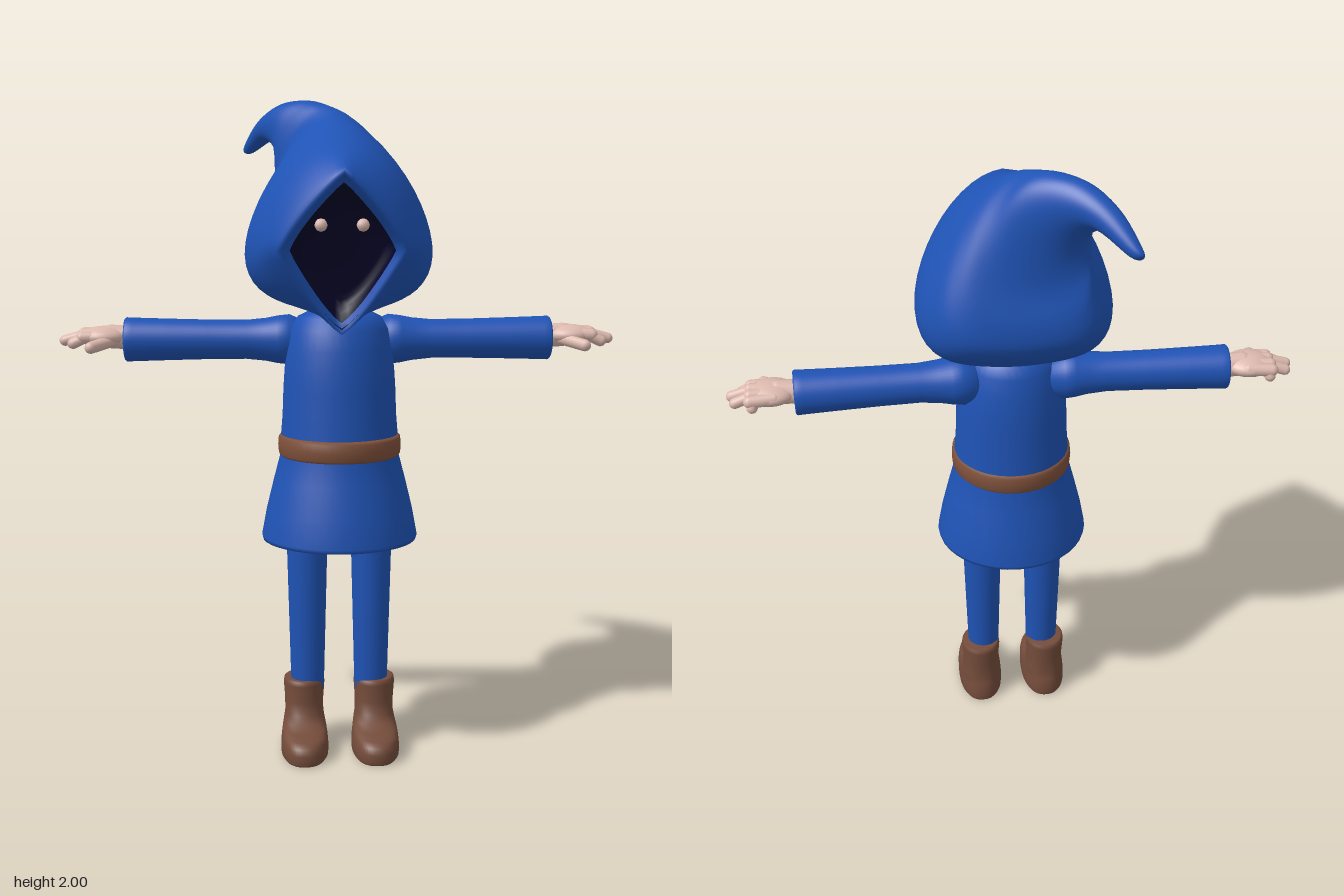
import * as THREE from 'three';

const mat = (name, color, side = THREE.FrontSide) =>
  Object.assign(new THREE.MeshStandardMaterial({ color, side }), { name });

// Catmull-Rom blend of one number
function spline(a, b, c, d, t) {
  const m = (c - a) / 2, n = (d - b) / 2;
  return (2 * b - 2 * c + m + n) * t ** 3 + (3 * c - 3 * b - 2 * m - n) * t * t + m * t + b;
}

// Skin over rings. Row: [y, z of one end, y, z of the other end, half width, x, roundness, shift]
// Roundness 1 is a diamond, 2 an ellipse, above 2 squarish.
function loft(rows, steps, sides = 48) {
  const last = rows.length - 1, pos = [], index = [];
  const count = last * steps + 1;
  for (let i = 0; i < count; i++) {
    const k = Math.min(Math.floor(i / steps), last - 1), t = i / steps - k;
    const r = (j) => rows[Math.max(0, Math.min(last, j))];
    const [ty, tz, by, bz, w, x, p, shift] = rows[0].map((_, c) =>
      spline(r(k - 1)[c], r(k)[c], r(k + 1)[c], r(k + 2)[c], t));
    for (let j = 0; j < sides; j++) {
      const a = (j / sides) * Math.PI * 2, c = Math.cos(a), s = Math.sin(a);
      const f = (Math.abs(c) ** p + Math.abs(s) ** p) ** (-1 / p);
      const h = (c * f + shift * s * s) / 2;
      pos.push(x + Math.max(w, 0) * s * f, (ty + by) / 2 + (ty - by) * h, (tz + bz) / 2 + (tz - bz) * h);
      if (i < count - 1) {
        const q = i * sides + j, n = i * sides + ((j + 1) % sides);
        index.push(q, n, q + sides, n, n + sides, q + sides);
      }
    }
  }
  const g = new THREE.BufferGeometry();
  g.setAttribute('position', new THREE.Float32BufferAttribute(pos, 3));
  g.setIndex(index);
  g.computeVertexNormals();
  return g;
}

const lathe = (pts) => new THREE.LatheGeometry(pts.map(([r, y]) => new THREE.Vector2(r, y)), 40);

export function createModel() {
  const model = new THREE.Group();
  model.name = 'hoodedFigure';
  const blue = mat('blueCloth', 0x1f53b5);
  const boot = mat('bootLeather', 0x744c3b);
  const strap = mat('beltLeather', 0x7e503a);
  const skin = mat('skin', 0xdcb9ae);
  const dark = mat('darkFace', 0x060326, THREE.DoubleSide);

  const add = (name, geo, material, x = 0, y = 0, z = 0, parent = model) => {
    const m = new THREE.Mesh(geo, material);
    m.name = name;
    m.position.set(x, y, z);
    parent.add(m);
    return m;
  };

  // Tunic: hollow skirt, waist, chest and closed neck
  add('tunic', lathe([
    [0.001, 0.86], [0.12, 0.845], [0.155, 0.8], [0.183, 0.715], [0.195, 0.69], [0.215, 0.677], [0.234, 0.678],
    [0.237, 0.69], [0.222, 0.77], [0.2, 0.86], [0.179, 0.94], [0.177, 1.0], [0.172, 1.06], [0.169, 1.14],
    [0.165, 1.2], [0.157, 1.26], [0.145, 1.32], [0.125, 1.355], [0.09, 1.372], [0.001, 1.376],
  ]), blue, 0, 0, 0.067).scale.z = 0.95;
  add('belt', lathe([
    [0.165, 0.937], [0.178, 0.938], [0.184, 0.945], [0.186, 0.97], [0.184, 0.993], [0.178, 1.0], [0.165, 1.001],
  ]), strap, 0, 0, 0.073);

  // Hood: rim, bulging head, then the curled tail
  add('hood', loft([
    [1.745, 0.345, 1.345, 0.2, 0.15, 0, 1.15, 0.06],
    [1.775, 0.378, 1.312, 0.21, 0.18, 0, 1.15, 0.06],
    [1.803, 0.335, 1.335, 0.185, 0.212, 0, 1.4, -0.05],
    [1.84, 0.25, 1.358, 0.12, 0.25, 0, 1.75, -0.25],
    [1.878, 0.15, 1.37, 0.0, 0.28, 0, 1.9, -0.35],
    [1.91, 0.07, 1.4, -0.12, 0.275, 0, 1.9, -0.42],
    [1.94, 0, 1.485, -0.208, 0.228, -0.005, 1.9, -0.45],
    [1.965, -0.05, 1.57, -0.22, 0.178, -0.02, 1.95, -0.4],
    [1.985, -0.1, 1.68, -0.192, 0.135, -0.055, 2, -0.25],
    [1.998, -0.155, 1.78, -0.195, 0.103, -0.095, 2, 0],
    [1.992, -0.22, 1.85, -0.222, 0.072, -0.15, 2, 0],
    [1.95, -0.295, 1.88, -0.27, 0.045, -0.21, 2, 0],
    [1.876, -0.37, 1.844, -0.352, 0.02, -0.27, 2, 0],
    [1.853, -0.374, 1.85, -0.372, 0, -0.28, 2, 0],
  ], 5), blue);

  // Shadowed hollow inside the hood
  add('face', loft([
    [1.59, 0.205, 1.589, 0.205, 0, 0, 2, 0],
    [1.68, 0.23, 1.47, 0.175, 0.09, 0, 1.6, 0.06],
    [1.735, 0.265, 1.39, 0.165, 0.145, 0, 1.3, 0.06],
    [1.762, 0.37, 1.326, 0.209, 0.168, 0, 1.15, 0.06],
  ], 4), dark);

  for (const s of [1, -1]) {
    const side = s > 0 ? 'left' : 'right';
    add(side + 'Eye', new THREE.IcosahedronGeometry(0.019, 1), skin, s * 0.06, 1.627, 0.228);

    // Sleeve with an open cuff, angled slightly back
    const sleeve = add(side + 'Sleeve', lathe([
      [0.001, 0.08], [0.05, 0.09], [0.076, 0.15], [0.072, 0.185], [0.065, 0.22], [0.059, 0.28], [0.06, 0.4],
      [0.063, 0.52], [0.066, 0.62], [0.067, 0.64], [0.063, 0.645], [0.056, 0.643], [0.052, 0.6], [0.001, 0.59],
    ]), blue, 0, 1.281, 0.025);
    sleeve.rotation.set(0, s * 0.034, -s * Math.PI / 2);

    // Hand: wrist, palm, four fingers and a thumb
    const hand = new THREE.Group();
    hand.name = side + 'Hand';
    model.add(hand);
    const digit = (name, from, to, r) => {
      const a = new THREE.Vector3(s * from[0], from[1], from[2]);
      const b = new THREE.Vector3(s * to[0], to[1], to[2]);
      const m = add(name, new THREE.CapsuleGeometry(r, a.distanceTo(b), 5, 12), skin, 0, 0, 0, hand);
      m.position.copy(a).lerp(b, 0.5);
      m.quaternion.setFromUnitVectors(new THREE.Vector3(0, 1, 0), b.sub(a).normalize());
    };
    digit('wrist', [0.61, 1.285, 0], [0.69, 1.29, 0], 0.036);
    add('palm', new THREE.SphereGeometry(1, 24, 16), skin, s * 0.71, 1.29, 0, hand).scale.set(0.072, 0.032, 0.064);
    [[-0.043, 0.765, -0.054], [-0.018, 0.815, -0.032], [0.01, 0.826, 0.006], [0.036, 0.798, 0.038]]
      .forEach(([z0, x1, z1], i) => {
        const y = 1.302 - Math.abs(i - 1.5) * 0.006;
        digit('fingerBase', [0.7, y, z0], [0.77, y - 0.002, z0 + (z1 - z0) * 0.6], 0.019);
        digit('fingerTip', [0.76, y - 0.002, z0 + (z1 - z0) * 0.5], [x1, y - 0.02, z1], 0.0165);
      });
    digit('thumb', [0.68, 1.28, 0.03], [0.738, 1.266, 0.096], 0.018);

    // Leg and boot
    add(side + 'Leg', new THREE.CylinderGeometry(0.068, 0.051, 0.68, 28), blue, s * 0.099, 0.53, 0.047).scale.z = 0.95;
    const ring = (y, front, back, w, p = 2.4) => [y, front, y, back, w, 0, p, 0];
    add(side + 'Boot', loft([
      ring(0, 0.1, 0.1, 0), ring(0, 0.238, -0.038, 0.068), ring(0, 0.238, -0.038, 0.068),
      ring(0.008, 0.245, -0.042, 0.073), ring(0.035, 0.245, -0.041, 0.073), ring(0.055, 0.239, -0.038, 0.071),
      ring(0.068, 0.218, -0.035, 0.069), ring(0.076, 0.175, -0.032, 0.067), ring(0.088, 0.13, -0.03, 0.064),
      ring(0.11, 0.11, -0.028, 0.06), ring(0.15, 0.103, -0.028, 0.06, 2.1), ring(0.205, 0.107, -0.033, 0.064, 2),
      ring(0.218, 0.104, -0.03, 0.062, 2), ring(0.222, 0.098, -0.024, 0.056, 2), ring(0.222, 0.04, 0.04, 0, 2),
    ], 1), boot, s * 0.11);
  }
  return model;
}
